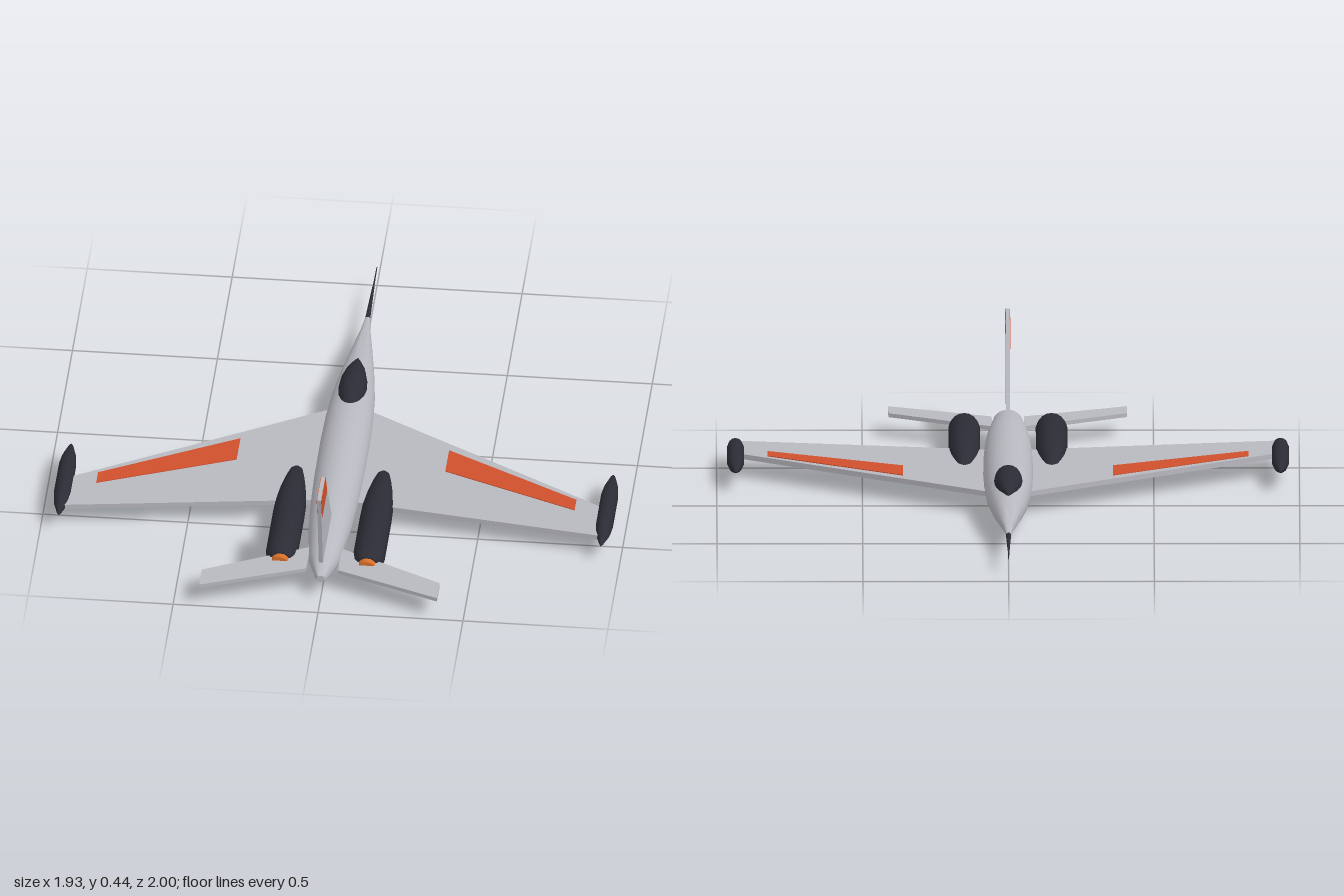
import * as THREE from 'three';
import { toCreasedNormals } from 'three/addons/utils/BufferGeometryUtils.js';

const material = (name, color) => {
  const m = new THREE.MeshStandardMaterial({ color });
  m.name = name;
  return m;
};

// Round body along z from [z, radius] pairs
function spindle(profile, sides) {
  const points = profile.map(([z, r]) => new THREE.Vector2(r, z));
  const g = new THREE.LatheGeometry(points, sides);
  g.rotateX(Math.PI / 2);
  return toCreasedNormals(g, 0.7);
}

function extrude(outline, thickness) {
  const shape = new THREE.Shape(outline.map(([a, b]) => new THREE.Vector2(a, b)));
  const g = new THREE.ExtrudeGeometry(shape, { depth: thickness, bevelEnabled: false });
  g.translate(0, 0, -thickness / 2);
  return g;
}

// Flat slab from [x, z] corners
const slab = (outline, thickness) => extrude(outline, thickness).rotateX(Math.PI / 2);
// Upright plate from [z, y] corners
const plate = (outline, thickness) => extrude(outline, thickness).rotateY(-Math.PI / 2);

export function createModel() {
  const grey = material('airframe grey', 0xb8b8c0);
  const dark = material('dark charcoal', 0x2b2c35);
  const orange = material('marking orange', 0xd0502c);
  const glow = material('nozzle orange', 0xd9702a);

  const model = new THREE.Group();
  model.name = 'jetAircraft';
  const add = (name, geometry, mat, x = 0, y = 0, z = 0) => {
    const mesh = new THREE.Mesh(geometry, mat);
    mesh.name = name;
    mesh.position.set(x, y, z);
    model.add(mesh);
    return mesh;
  };

  // Fuselage, slightly wider than tall
  const fuselage = add('fuselage', spindle([
    [-0.69, 0], [-0.69, 0.008], [-0.6, 0.018], [-0.5, 0.034], [-0.36, 0.055],
    [-0.2, 0.074], [-0.05, 0.083], [0.1, 0.086], [0.3, 0.085], [0.45, 0.081],
    [0.6, 0.073], [0.8, 0.052], [0.9, 0.02], [0.91, 0.014], [0.91, 0],
  ], 24), grey, 0, 0.083);
  fuselage.scale.y = 0.92;

  // Nose probe
  add('noseProbe', spindle([
    [-1, 0], [-0.995, 0.0015], [-0.88, 0.003], [-0.87, 0.004], [-0.68, 0.009], [-0.68, 0],
  ], 10), dark, 0, 0.083);

  // Canopy
  add('canopy', spindle([
    [-0.36, 0], [-0.33, 0.014], [-0.28, 0.033], [-0.22, 0.046], [-0.17, 0.049],
    [-0.12, 0.044], [-0.07, 0.03], [-0.04, 0.013], [-0.03, 0],
  ], 16), dark, 0, 0.138);

  // Tail fin with a painted tip on both faces
  add('tailFin', plate([[0.905, 0.148], [0.61, 0.148], [0.82, 0.445], [0.965, 0.445]], 0.014), grey);
  for (const s of [1, -1]) {
    add('finTipPaint', plate([[0.935, 0.355], [0.77, 0.355], [0.82, 0.445], [0.965, 0.445]], 0.002),
      orange, s * 0.0075);
  }

  for (const s of [1, -1]) {
    const side = s > 0 ? 'left' : 'right';
    const mirror = (pts) => pts.map(([x, z]) => [s * x, z]);

    // Wing with paint panels above and below
    add(side + 'Wing', slab(mirror([[0.03, -0.14], [0.935, 0.394], [0.935, 0.558], [0.03, 0.433]]), 0.018),
      grey, 0, 0.077);
    const panel = mirror([[0.36, 0.095], [0.825, 0.35], [0.825, 0.412], [0.36, 0.222]]);
    for (const y of [0.087, 0.067]) add(side + 'WingPanel', slab(panel, 0.003), orange, 0, y);

    // Wingtip pod
    add(side + 'TipPod', spindle([
      [0.17, 0], [0.19, 0.009], [0.25, 0.024], [0.3, 0.03], [0.48, 0.03],
      [0.53, 0.025], [0.59, 0.008], [0.61, 0],
    ], 14), dark, s * 0.935, 0.078);

    // Engine nacelle and nozzle
    add(side + 'Engine', spindle([
      [0.232, 0], [0.235, 0.012], [0.255, 0.024], [0.3, 0.034], [0.37, 0.046], [0.44, 0.053],
      [0.52, 0.055], [0.75, 0.055], [0.785, 0.05], [0.805, 0.038], [0.805, 0],
    ], 18), dark, s * 0.15, 0.073);
    add(side + 'Nozzle', spindle([[0.79, 0], [0.79, 0.035], [0.825, 0.032], [0.825, 0]], 18),
      glow, s * 0.15, 0.073);

    // Tailplane
    add(side + 'Tailplane', slab(mirror([[0.055, 0.73], [0.41, 0.905], [0.41, 0.997], [0.055, 0.862]]), 0.014),
      grey, 0, 0.083);
  }

  return model;
}
